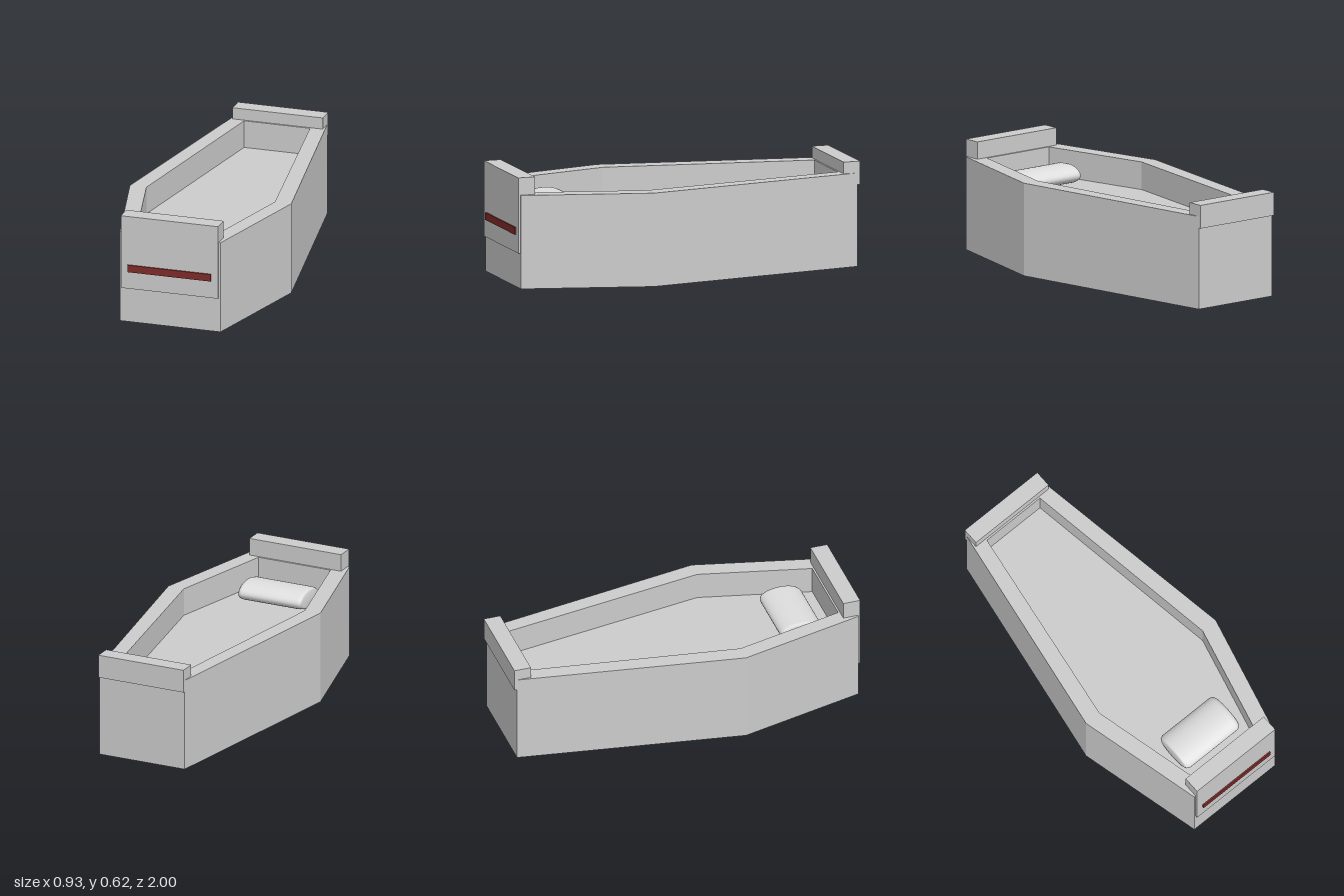
import * as THREE from 'three';

const stone = new THREE.MeshStandardMaterial({ color: 0xcccccc });
stone.name = 'pale grey';
const cloth = new THREE.MeshStandardMaterial({ color: 0xdedede });
cloth.name = 'pillow grey';
const red = new THREE.MeshStandardMaterial({ color: 0x802b2b });
red.name = 'dark red';

// Half outlines as [x, z] from the front end to the back end
const OUTER = [[0.29, 0.98], [0.465, 0.27], [0.26, -0.985]];
const INNER = [[0.22, 0.885], [0.37, 0.27], [0.19, -0.895]];
const FLOOR = 0.365;
const RIM = 0.52;

// Mirrors a half outline into closed points; z is negated for the later tilt
function outline(half) {
  const right = half.map(([x, z]) => new THREE.Vector2(x, -z));
  const left = half.map(([x, z]) => new THREE.Vector2(-x, -z)).reverse();
  return [...right, ...left];
}

// Extrudes a plan shape upward from y = 0
function slab(shape, height) {
  const g = new THREE.ExtrudeGeometry(shape, { depth: height, bevelEnabled: false });
  g.rotateX(-Math.PI / 2);
  return g;
}

export function createModel() {
  const group = new THREE.Group();

  const add = (name, geometry, material) => {
    const mesh = new THREE.Mesh(geometry, material);
    mesh.name = name;
    group.add(mesh);
    return mesh;
  };
  // Box given by its half width and its y and z ranges
  const block = (name, hw, y0, y1, z0, z1, material) => {
    const mesh = add(name, new THREE.BoxGeometry(hw * 2, y1 - y0, z1 - z0), material);
    mesh.position.set(0, (y0 + y1) / 2, (z0 + z1) / 2);
  };

  // Six-sided tub: walls with an opening, and a raised floor inside
  const walls = new THREE.Shape(outline(OUTER));
  walls.holes.push(new THREE.Path(outline(INNER)));
  add('walls', slab(walls, RIM), stone);
  add('floor', slab(new THREE.Shape(outline(INNER)), FLOOR), stone);

  // End boards
  block('frontBoard', 0.28, 0.197, 0.617, 0.895, 0.992, stone);
  block('backRail', 0.26, 0.455, 0.585, -1, -0.905, stone);
  block('frontStripe', 0.24, 0.295, 0.336, 0.991, 1, red);

  // Soft pillow: a flattened roll lying across the floor
  const profile = [[0, -0.195], [0.095, -0.195], [0.112, -0.187], [0.12, -0.168],
    [0.12, 0.168], [0.112, 0.187], [0.095, 0.195], [0, 0.195]]
    .map(([r, y]) => new THREE.Vector2(r, y));
  const roll = new THREE.LatheGeometry(profile, 32);
  roll.rotateZ(Math.PI / 2);
  roll.scale(1, 0.053 / 0.12, 1);
  add('pillow', roll, cloth).position.set(0, 0.417, 0.685);

  return group;
}
